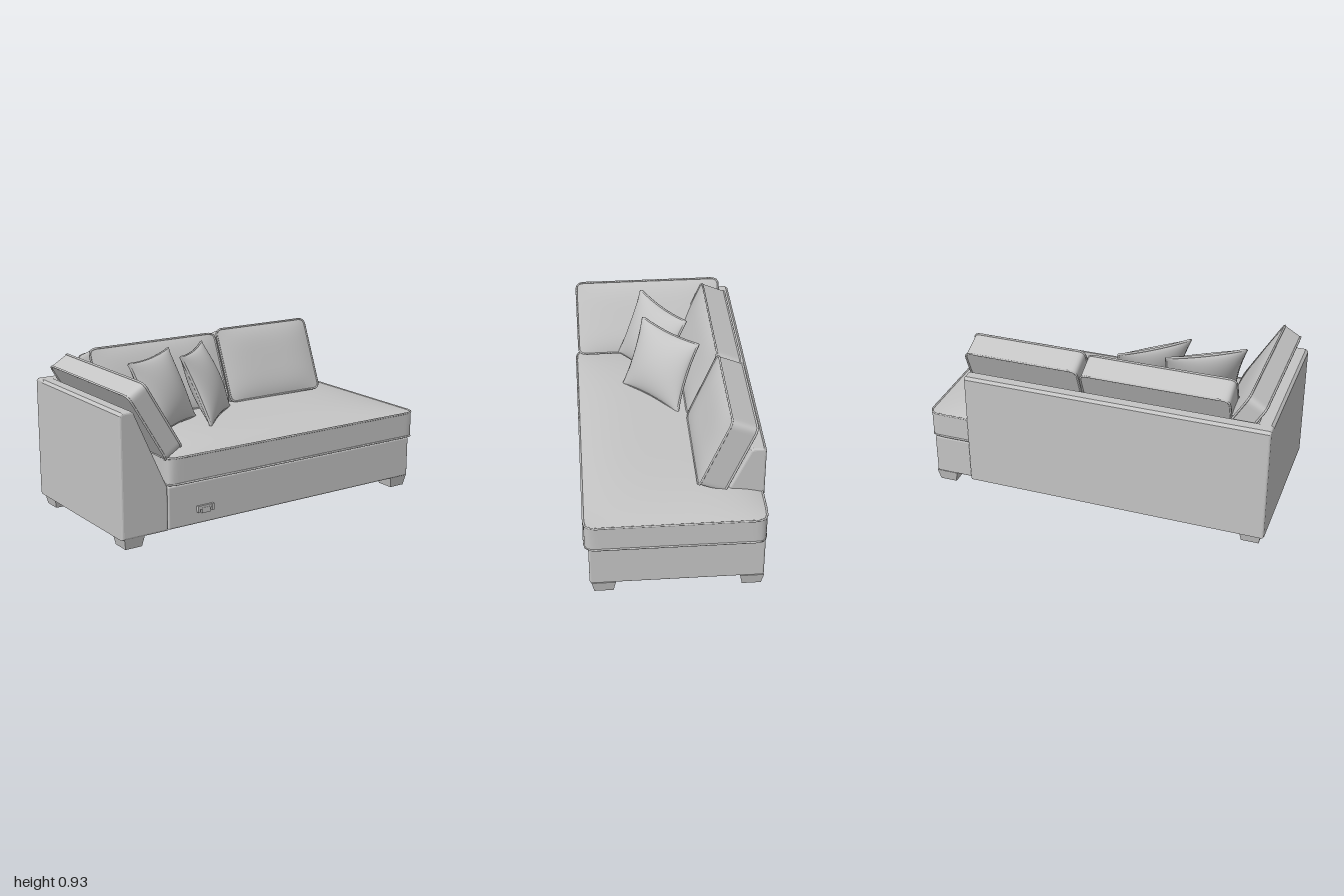
import * as THREE from 'three';
import { RoundedBoxGeometry } from 'three/addons/geometries/RoundedBoxGeometry.js';

const fabric = new THREE.MeshStandardMaterial({ color: 0xc4c4c4 });
fabric.name = 'light grey fabric';

function add(parent, name, geometry, x = 0, y = 0, z = 0) {
  const mesh = new THREE.Mesh(geometry, fabric);
  mesh.name = name;
  mesh.position.set(x, y, z);
  parent.add(mesh);
  return mesh;
}

// Panel lying in x/y with thickness along z; shape(u, v, side) places each
// point, u and v running from -1 to 1, side being -1 to 1 through the depth.
function softPanel(segX, segY, shape) {
  const geo = new THREE.BoxGeometry(2, 2, 2, segX, segY, 2);
  const pos = geo.attributes.position;
  const ease = (t) => Math.sin(t * Math.PI / 2);
  for (let i = 0; i < pos.count; i++) {
    const p = shape(ease(pos.getX(i)), ease(pos.getY(i)), pos.getZ(i));
    pos.setXYZ(i, p.x, p.y, p.z);
  }
  geo.computeVertexNormals();
  return geo;
}

// Welt cord following the rim of a soft panel
function piping(shape, side, radius) {
  const pts = [];
  const n = 14;
  const corners = [[-1, -1], [1, -1], [1, 1], [-1, 1]];
  corners.forEach(([u, v], k) => {
    const [u2, v2] = corners[(k + 1) % 4];
    for (let i = 0; i < n; i++) {
      const t = (1 - Math.cos(Math.PI * i / n)) / 2;
      pts.push(shape(u + (u2 - u) * t, v + (v2 - v) * t, side));
    }
  });
  return new THREE.TubeGeometry(new THREE.CatmullRomCurve3(pts, true), 160, radius, 6, true);
}

// Boxed cushion: rounded corners, crowned faces and a cord on both seams
function boxCushion(name, w, h, t, crown, r = 0.035) {
  const shape = (u, v, side) => {
    let x = u * w / 2, y = v * h / 2;
    const cx = THREE.MathUtils.clamp(x, r - w / 2, w / 2 - r);
    const cy = THREE.MathUtils.clamp(y, r - h / 2, h / 2 - r);
    const dx = x - cx, dy = y - cy;
    if (dx && dy) {
      const k = Math.max(Math.abs(dx), Math.abs(dy)) / Math.hypot(dx, dy);
      x = cx + dx * k;
      y = cy + dy * k;
    }
    const puff = (1 - u ** 4) * (1 - v ** 4);
    const z = side * t / 2 + (side > 0.9 ? crown * puff : 0);
    return new THREE.Vector3(x, y, z);
  };
  const group = new THREE.Group();
  group.name = name;
  add(group, name + 'Body', softPanel(32, 24, shape));
  add(group, name + 'FrontPiping', piping(shape, 1, 0.006));
  add(group, name + 'BackPiping', piping(shape, -1, 0.006));
  return group;
}

// Knife-edge pillow: pointed corners, hollow sides, full middle
function throwPillow(name, w, h, t) {
  const shape = (u, v, side) => {
    const full = Math.max(0, (1 - u * u) * (1 - v * v));
    return new THREE.Vector3(
      u * w / 2 * (1 - 0.08 * (1 - v * v)),
      v * h / 2 * (1 - 0.08 * (1 - u * u)),
      side * (0.005 + t / 2 * Math.pow(full, 0.6)));
  };
  const group = new THREE.Group();
  group.name = name;
  add(group, name + 'Body', softPanel(24, 24, shape));
  add(group, name + 'Piping', piping(shape, 0, 0.007));
  return group;
}

// Upright with a sloped inner face, used for both the arm and the back
function uprightGeometry(length) {
  const b = 0.012;
  const s = new THREE.Shape();
  [[0, 0.06], [0.28, 0.06], [0.28, 0.3], [0.085, 0.735], [0.07, 0.745], [0.015, 0.745], [0, 0.73]]
    .forEach(([x, y], i) => (i ? s.lineTo(x, y) : s.moveTo(x, y)));
  s.closePath();
  const geo = new THREE.ExtrudeGeometry(s, {
    depth: length - 2 * b, bevelThickness: b, bevelSize: b, bevelOffset: -b, bevelSegments: 3,
  });
  return geo.translate(0, 0, b);
}

// Block foot tapering to the floor
function legGeometry() {
  const geo = new THREE.BoxGeometry(0.124, 0.066, 0.13);
  const pos = geo.attributes.position;
  for (let i = 0; i < pos.count; i++) {
    if (pos.getY(i) < 0) {
      pos.setX(i, pos.getX(i) * 0.8);
      pos.setZ(i, pos.getZ(i) * 0.8);
    }
  }
  geo.computeVertexNormals();
  return geo;
}

export function createModel() {
  const sofa = new THREE.Group();
  sofa.name = 'chaiseSofa';

  // Frame
  add(sofa, 'seatBase', new RoundedBoxGeometry(1.69, 0.242, 0.94, 3, 0.012), 0.125, 0.183, -0.005);
  add(sofa, 'arm', uprightGeometry(0.945), -1, 0, -0.48);
  add(sofa, 'back', uprightGeometry(1.75), 0.75, 0, -0.492).rotation.y = -Math.PI / 2;

  // Feet
  for (const x of [-0.92, 0.91]) {
    for (const z of [0.39, -0.41]) add(sofa, 'leg', legGeometry(), x, 0.033, z);
  }

  // Seat cushion
  const seat = boxCushion('seatCushion', 1.72, 0.966, 0.145, 0.055, 0.05);
  seat.rotation.x = -Math.PI / 2;
  seat.position.set(0.13, 0.388, 0.003);
  sofa.add(seat);

  // Loose cushions: place by centre, backward lean and turn, in degrees
  const place = (item, x, y, z, lean, turn) => {
    item.position.set(x, y, z);
    item.rotation.set(-lean * Math.PI / 180, turn * Math.PI / 180, 0, 'YXZ');
    sofa.add(item);
  };
  place(boxCushion('backCushionRight', 0.84, 0.43, 0.145, 0.025), -0.34, 0.685, -0.287, 22.5, 0);
  place(boxCushion('backCushionLeft', 0.66, 0.445, 0.145, 0.025), 0.425, 0.695, -0.287, 22.5, 0);
  place(boxCushion('armCushion', 0.88, 0.44, 0.11, 0.025), -0.79, 0.665, 0.03, 31, 90);
  place(throwPillow('throwPillowOuter', 0.46, 0.42, 0.14), -0.48, 0.7, 0.03, 24, 31);
  place(throwPillow('throwPillowInner', 0.44, 0.42, 0.14), -0.175, 0.7, 0, 24, 42);

  // Small latch on the front rail
  add(sofa, 'latchBar', new THREE.BoxGeometry(0.09, 0.02, 0.014), -0.49, 0.155, 0.471);
  add(sofa, 'latchPlate', new THREE.BoxGeometry(0.05, 0.03, 0.016), -0.49, 0.138, 0.472);
  for (const x of [-0.535, -0.445]) {
    add(sofa, 'latchEnd', new THREE.BoxGeometry(0.014, 0.036, 0.018), x, 0.148, 0.472);
  }
  return sofa;
}
